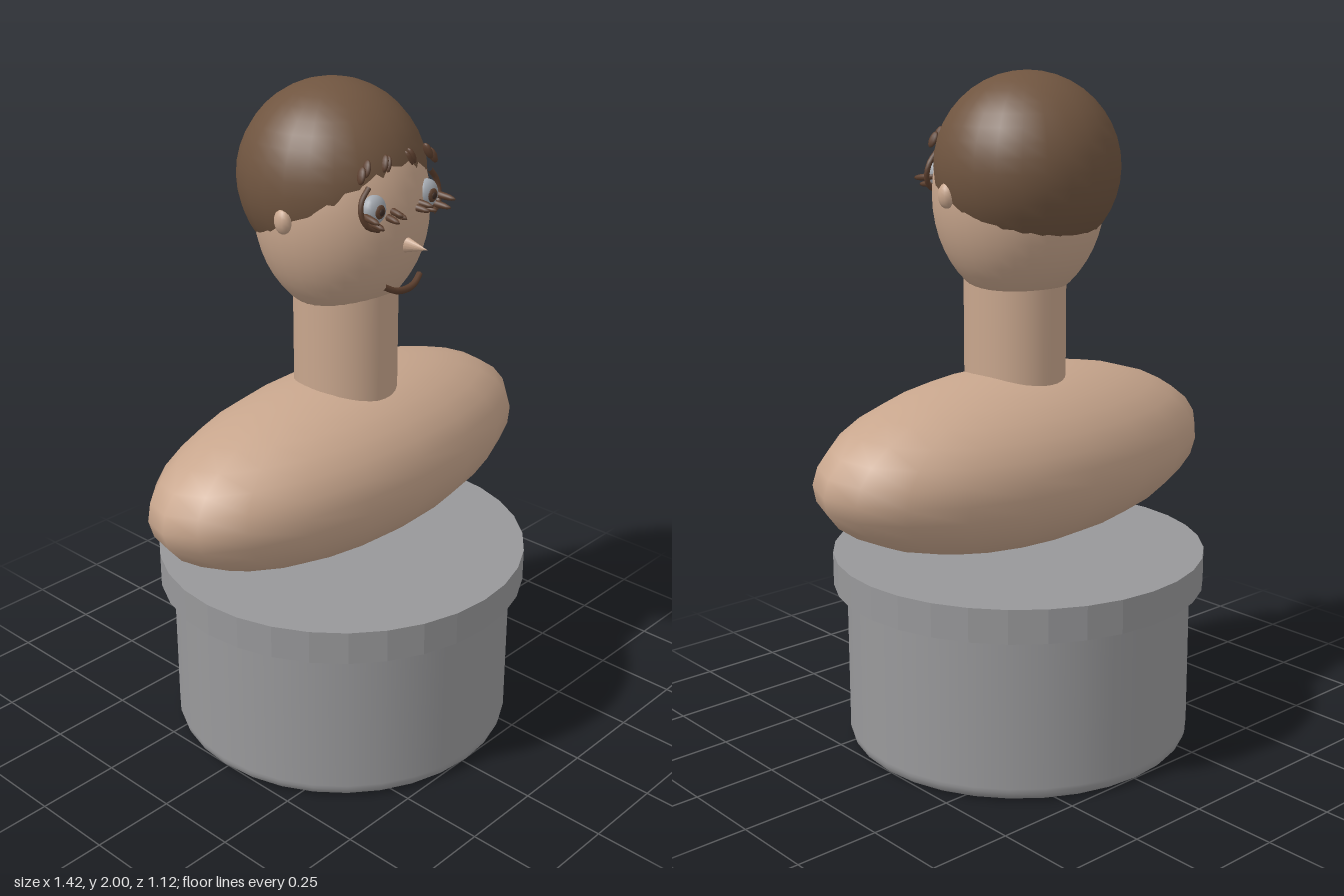
import * as THREE from 'three';

const mat = (name, color) => {
  const m = new THREE.MeshStandardMaterial({ color });
  m.name = name;
  return m;
};

export function createModel() {
  const skin = mat('skin', 0xc8a68d);
  const hairBrown = mat('hair brown', 0x705540);
  const grey = mat('pedestal grey', 0x99999b);
  grey.flatShading = false;
  const lidGrey = mat('lid grey', 0x98989a);
  lidGrey.flatShading = true;
  const eyeGrey = mat('eye grey', 0xa4a9b0);
  const lashBrown = mat('lash brown', 0x5c3f2e);
  const dark = mat('pupil dark', 0x3a2a24);

  const model = new THREE.Group();
  model.name = 'bust';
  const add = (name, geo, material, pos = [0, 0, 0], scale = [1, 1, 1], rot = [0, 0, 0]) => {
    const m = new THREE.Mesh(geo, material);
    m.name = name;
    m.position.set(...pos);
    m.scale.set(...scale);
    m.rotation.set(...rot);
    model.add(m);
    return m;
  };
  const ball = (w = 24, h = 16) => new THREE.SphereGeometry(1, w, h);
  const tube = (pts, r) => new THREE.TubeGeometry(
    new THREE.CatmullRomCurve3(pts.map(p => new THREE.Vector3(...p))), 12, r, 6);

  // Pedestal: drum with a rounded bottom edge, separate wall and floor normals
  const wall = [[0.49, 0], [0.505, 0.005], [0.515, 0.015], [0.52, 0.03], [0.52, 0.04], [0.52, 0.5]];
  add('pedestal', new THREE.LatheGeometry(wall.map(p => new THREE.Vector2(...p)), 32), grey);
  add('pedestalBottom', new THREE.CircleGeometry(0.49, 32), grey, [0, 0, 0], [1, 1, 1], [Math.PI / 2, 0, 0]);
  add('lid', new THREE.CylinderGeometry(0.56, 0.56, 0.1, 32), lidGrey, [0, 0.54, 0]);

  // Shoulders, neck, head
  add('shoulders', ball(20, 16), skin, [0, 0.878, 0], [0.71, 0.262, 0.33], [-0.1, 0, 0]);
  add('neck', new THREE.CylinderGeometry(0.143, 0.143, 0.5, 32), skin, [0, 1.25, 0.016], [1, 1, 1.11]);
  add('head', ball(32, 24), skin, [0, 1.65, 0], [0.25, 0.317, 0.25]);
  add('hair', ball(24, 20), hairBrown, [0, 1.73, -0.037], [0.27, 0.27, 0.267]);

  // Nose and mouth
  add('nose', new THREE.ConeGeometry(0.03, 0.1, 16), skin, [0, 1.585, 0.268], [0.65, 1, 1], [Math.PI / 2, 0, 0]);
  add('mouth', tube([[-0.075, 1.478, 0.228], [-0.04, 1.46, 0.238], [0, 1.455, 0.242],
    [0.04, 1.46, 0.238], [0.075, 1.478, 0.228]], 0.01), lashBrown);

  for (const s of [-1, 1]) {
    const side = s > 0 ? 'left' : 'right';
    const x = s * 0.108;
    add(side + 'Ear', ball(12, 10), skin, [s * 0.252, 1.66, 0.02], [0.022, 0.036, 0.028]);
    add(side + 'Eye', ball(16, 12), eyeGrey, [x, 1.7, 0.217], [0.042, 0.042, 0.028]);
    add(side + 'Iris', ball(12, 8), lashBrown, [x, 1.7, 0.24], [0.02, 0.02, 0.009]);
    add(side + 'Pupil', ball(10, 8), dark, [x, 1.7, 0.247], [0.01, 0.01, 0.005]);

    // Eyelid curl sweeping round the outer side of the eye
    add(side + 'EyelidCurl', tube([[s * 0.125, 1.765, 0.215], [s * 0.152, 1.735, 0.215],
      [s * 0.16, 1.7, 0.22], [s * 0.145, 1.665, 0.23], [s * 0.11, 1.65, 0.24]], 0.008), lashBrown);

    // Lashes: thin spikes reaching forward
    for (const [dx, y] of [[0.15, 1.69], [0.13, 1.67], [0.07, 1.675], [0.055, 1.69], [0.04, 1.68]])
      add(side + 'Lash', ball(8, 8), lashBrown, [s * dx, y, 0.24], [0.01, 0.01, 0.045], [0.1, s * 0.15, 0]);

    // Brow tufts leaning forward
    for (const [dx, y] of [[0.145, 1.8], [0.125, 1.815], [0.055, 1.815], [0.042, 1.81]])
      add(side + 'Brow', ball(8, 8), lashBrown, [s * dx, y, 0.207], [0.009, 0.025, 0.014], [-0.2, 0, s * 0.4]);
  }
  return model;
}
